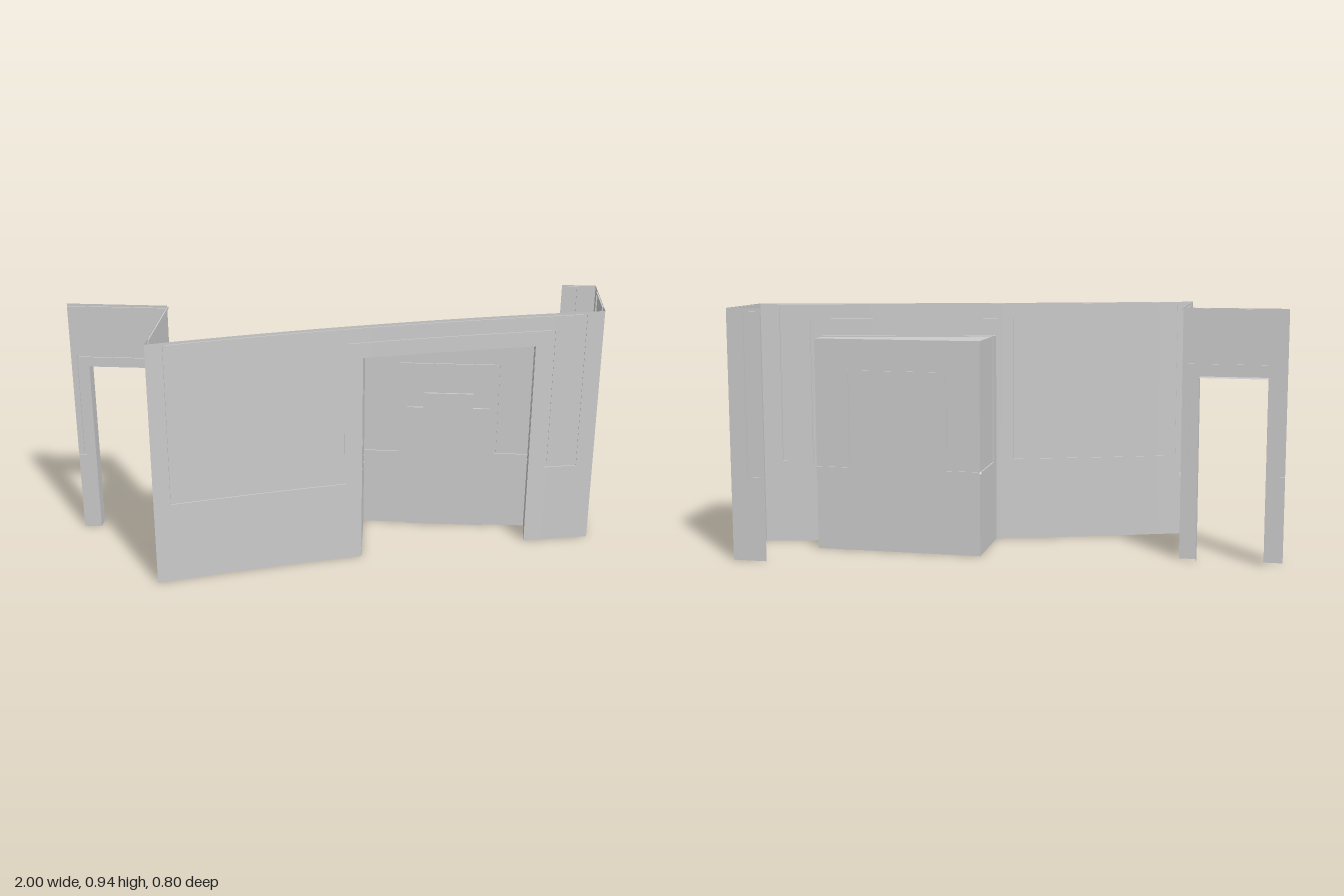
import * as THREE from 'three';
import { toCreasedNormals } from 'three/addons/utils/BufferGeometryUtils.js';

const H = 0.935;      // wall height
const RAIL = 0.317;   // lower trim line
const TOP = 0.928;    // upper trim line
const W = 0.008;      // trim groove width
const D = 0.005;      // trim groove depth
const BACK = -0.16;   // back of the alcove
const DOOR_H = 0.685, ARCH_H = 0.81;
const L = 0.12, R = 0.75; // alcove opening

const material = new THREE.MeshStandardMaterial({ color: 0xcccccc, side: THREE.DoubleSide });

// Plan of the long, gently curved wall
const curve = (x) => 0.177 - 0.32 * x + 0.058 * x * x;

// Turns a polyline into groove rectangles [u0, u1, v0, v1]
function trace(points, wu = W, wv = W) {
  return points.slice(1).map(([u, v], i) => {
    const [a, b] = points[i];
    return [Math.min(a, u) - wu / 2, Math.max(a, u) + wu / 2, Math.min(b, v) - wv / 2, Math.max(b, v) + wv / 2];
  });
}

// Thin sheet over a (u, v) range with sunk grooves and cut-out holes.
// map(u, v, depth) gives the position in space.
function sheet(name, map, [u0, u1], [v0, v1], grooves = [], holes = [], steps = 1) {
  const cuts = (lo, hi, k, n) => {
    const all = [lo, hi];
    for (let i = 1; i < n; i++) all.push(lo + ((hi - lo) * i) / n);
    for (const r of [...grooves, ...holes]) all.push(r[k], r[k + 1]);
    return all.filter((c) => c >= lo && c <= hi).sort((a, b) => a - b)
      .filter((c, i, s) => i === 0 || c - s[i - 1] > 1e-5);
  };
  const us = cuts(u0, u1, 0, steps), vs = cuts(v0, v1, 2, 1);
  const inside = (r, u, v) => u > r[0] && u < r[1] && v > r[2] && v < r[3];
  const depth = (i, j) => {
    if (i < 0 || j < 0 || i >= us.length - 1 || j >= vs.length - 1) return null;
    const u = (us[i] + us[i + 1]) / 2, v = (vs[j] + vs[j + 1]) / 2;
    if (holes.some((r) => inside(r, u, v))) return null;
    return grooves.some((r) => inside(r, u, v)) ? D : 0;
  };
  const pos = [];
  const quad = (a, b, c, d) => pos.push(...a, ...b, ...c, ...a, ...c, ...d);
  for (let i = 0; i < us.length - 1; i++) {
    for (let j = 0; j < vs.length - 1; j++) {
      const d = depth(i, j);
      if (d === null) continue;
      const [a, b, c, e] = [us[i], us[i + 1], vs[j], vs[j + 1]];
      quad(map(a, c, d), map(b, c, d), map(b, e, d), map(a, e, d));
      // groove sides
      const du = depth(i + 1, j), dv = depth(i, j + 1);
      if (du !== null && du !== d) quad(map(b, c, d), map(b, c, du), map(b, e, du), map(b, e, d));
      if (dv !== null && dv !== d) quad(map(a, e, d), map(b, e, d), map(b, e, dv), map(a, e, dv));
    }
  }
  const geo = new THREE.BufferGeometry();
  geo.setAttribute('position', new THREE.Float32BufferAttribute(pos, 3));
  const mesh = new THREE.Mesh(toCreasedNormals(geo, 0.5), material);
  mesh.name = name;
  return mesh;
}

// Flat upright walls: u runs along x or along z, grooves sink in direction s
const alongX = (z, s) => (u, v, d) => [u, v, z + s * d];
const alongZ = (x, s) => (u, v, d) => [x + s * d, v, u];

function createModel() {
  const model = new THREE.Group();
  model.name = 'wallSection';

  // Curved main wall with one trim loop stepping around the alcove
  model.add(sheet('curvedWall', (u, v, d) => [u, v, curve(u) - d], [-0.62, 1], [0, H],
    trace([[-0.558, RAIL], [-0.558, TOP], [0.932, TOP], [0.932, RAIL], [0.817, RAIL],
      [0.817, 0.872], [0.06, 0.872], [0.06, RAIL], [-0.558, RAIL]]),
    [[L, R, -1, ARCH_H]], 16));

  // Right-hand return and the doorway wall behind it
  model.add(sheet('sideWall', alongZ(-0.62, 1), [-0.035, curve(-0.62)], [0, H],
    trace([[-0.05, RAIL], [0.332, RAIL], [0.332, TOP], [-0.05, TOP]])));
  model.add(sheet('doorwayWall', alongX(-0.035, -1), [-1, -0.62], [0, H],
    [...trace([[-1, TOP], [-0.62, TOP]]),
      ...trace([[-1, RAIL], [-0.973, RAIL], [-0.973, 0.727], [-0.645, 0.727], [-0.645, RAIL], [-0.62, RAIL]])],
    [[-0.932, -0.685, -1, DOOR_H]]));

  // Doorway lining
  for (const x of [-0.932, -0.685]) {
    model.add(sheet('doorwayJamb', alongZ(x, 1), [-0.092, -0.035], [0, DOOR_H]));
  }
  model.add(sheet('doorwayLintel', (u, v) => [u, DOOR_H, v], [-0.932, -0.685], [-0.092, -0.035]));

  // Far end: panelled end wall and its short return
  model.add(sheet('endWall', alongZ(1, -1), [-0.4, curve(1)], [0, H],
    trace([[-0.148, RAIL], [-0.148, TOP], [-0.329, TOP], [-0.329, RAIL], [-0.148, RAIL]])));
  model.add(sheet('endReturn', alongX(-0.4, 1), [0.87, 1], [0, H],
    trace([[0.87, RAIL], [0.932, RAIL], [0.932, TOP], [0.87, TOP]])));

  // Alcove: sides flare slightly towards the back
  const alcove = new THREE.Group();
  alcove.name = 'alcove';
  const STEP = 0.068; // trim distance behind the curved wall
  for (const [x, s] of [[L, -1], [R, 1]]) {
    const front = curve(x), g = front - STEP;
    const side = (u, v, d) => [x + s * (0.006 * (front - u) / (front - BACK) + d), v, u];
    alcove.add(sheet('alcoveSide', side, [BACK, front], [0, ARCH_H],
      trace([[BACK, RAIL], [g, RAIL], [g, ARCH_H]])));
  }
  alcove.add(sheet('alcoveBack', alongX(BACK, -1), [L - 0.006, R + 0.006], [0, ARCH_H],
    trace([[L - 0.006, RAIL], [0.246, RAIL], [0.246, 0.688], [0.628, 0.688], [0.628, RAIL], [R + 0.006, RAIL]])));

  // Ceiling: v 0..1 runs to the trim line, 1..2 on to the back
  const ceiling = (u, v, d) => {
    const c = curve(u);
    const z = v <= 1 ? c - STEP * v : THREE.MathUtils.lerp(c - STEP, BACK, v - 1);
    const flare = 0.006 * (c - z) / (c - BACK) * (2 * (u - L) / (R - L) - 1);
    return [u + flare, ARCH_H + d, z];
  };
  alcove.add(sheet('alcoveCeiling', ceiling, [L, R], [0, 2], [[L - 1, R + 1, 0.92, 1.03]], [], 6));

  // Stepped door set against the alcove back
  const outline = [[0.28, 0], [0.597, 0], [0.597, 0.505], [0.535, 0.505], [0.535, 0.565],
    [0.341, 0.565], [0.341, 0.505], [0.28, 0.505]].map(([x, y]) => new THREE.Vector2(x, y));
  const door = new THREE.Mesh(
    new THREE.ExtrudeGeometry(new THREE.Shape(outline), { depth: 0.008, bevelEnabled: false }), material);
  door.name = 'steppedDoor';
  door.position.z = BACK + 0.001;
  alcove.add(door);
  model.add(alcove);

  return model;
}

export { createModel };
